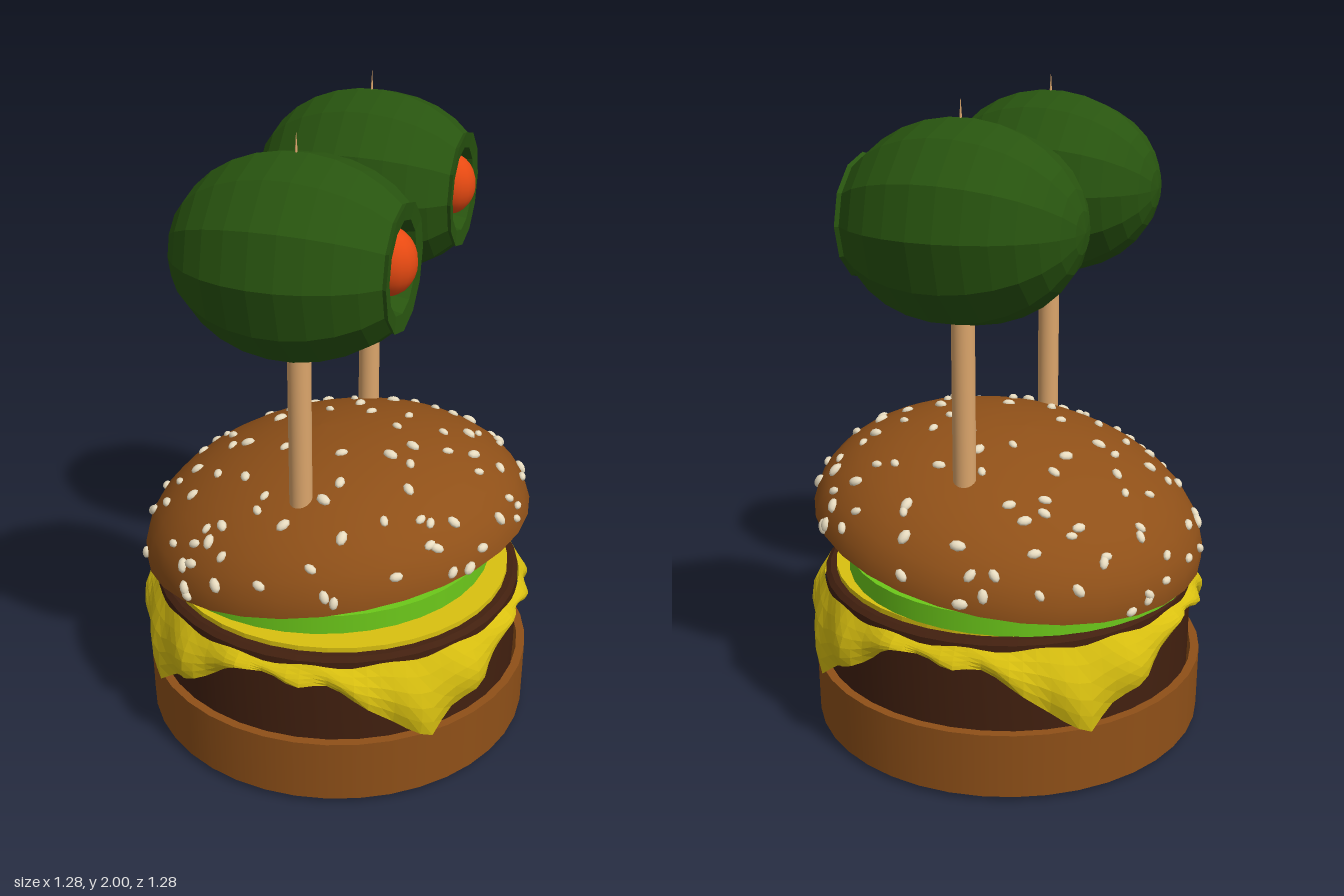
import * as THREE from 'three';

const mat = (color, extra = {}) => new THREE.MeshStandardMaterial({ color, ...extra });
const bunMat = mat(0x8f5018);
const pattyMat = mat(0x42200f);
const cheeseMat = mat(0xd9c010, { side: THREE.DoubleSide, flatShading: true });
const lettuceMat = mat(0x6cc81a);
const tomatoMat = mat(0xd9401a);
const seedMat = mat(0xe8dcc0);
const stickMat = mat(0xdba56b);
const oliveMat = mat(0x28540f, { flatShading: true });
const pimentoMat = mat(0xe84a12);

function add(parent, name, geometry, material, x = 0, y = 0, z = 0) {
  const mesh = new THREE.Mesh(geometry, material);
  mesh.name = name;
  mesh.position.set(x, y, z);
  parent.add(mesh);
  return mesh;
}

const lathe = (points, segments) =>
  new THREE.LatheGeometry(points.map(([r, y]) => new THREE.Vector2(r, y)), segments);

// Upright disc between two heights
function disc(parent, name, material, r, y0, y1, x = 0, z = 0) {
  return add(parent, name, new THREE.CylinderGeometry(r, r, y1 - y0, 40), material, x, (y0 + y1) / 2, z);
}

function seededRandom(seed) {
  return () => (seed = (seed * 16807) % 2147483647) / 2147483647;
}

// Shallow cup-shaped lower bun; doubled points keep its edges sharp
function bottomBun(parent) {
  add(parent, 'bottomBun', lathe([
    [0, 0], [0.3, 0.004], [0.62, 0.015], [0.62, 0.015], [0.622, 0.22], [0.622, 0.22],
    [0.595, 0.22], [0.595, 0.22], [0.59, 0.08], [0.59, 0.08], [0, 0.08],
  ], 40), bunMat);
}

// Cheese slice: flat middle and a wavy band with four drooping corners
function cheese(parent) {
  const group = new THREE.Group();
  group.name = 'cheese';
  parent.add(group);
  disc(group, 'cheeseTop', cheeseMat, 0.55, 0.495, 0.518);
  const band = new THREE.PlaneGeometry(1, 1, 96, 5);
  const p = band.attributes.position;
  for (let i = 0; i < p.count; i++) {
    const angle = (p.getX(i) + 0.5) * Math.PI * 2;
    const t = 0.5 - p.getY(i);
    const quarter = Math.PI / 2;
    const offset = ((angle - 0.26 + quarter / 2 + Math.PI * 2) % quarter) - quarter / 2;
    const droop = Math.max(0, 1 - Math.abs(offset) / 0.56);
    const top = 0.477 + 0.006 * Math.sin(angle * 16);
    const bottom = 0.435 + 0.012 * Math.sin(angle * 12) - 0.225 * droop;
    const ruffle = 0.012 * Math.sin(angle * 20 + t * 2) * t;
    const bulge = Math.sin(Math.PI * Math.min(1, t * 0.85)) * (0.012 + 0.02 * Math.min(1, droop * 2));
    const r = 0.588 + 0.018 * t + bulge + ruffle;
    p.setXYZ(i, Math.cos(angle) * r, top + (bottom - top) * t, Math.sin(angle) * r);
  }
  band.computeVertexNormals();
  add(group, 'cheeseDrape', band, cheeseMat);
}

// Tilted dome bun scattered with seeds
function topBun(parent) {
  const R = 0.62, H = 0.33;
  const group = new THREE.Group();
  group.name = 'topBun';
  group.position.set(-0.005, 0.635, 0);
  group.rotation.set(0.07, 0, 0.153);
  parent.add(group);

  const profile = [[0, 0], [R - 0.005, 0], [R - 0.005, 0]];
  for (let i = 0; i <= 10; i++) {
    const a = (i / 10) * Math.PI / 2;
    profile.push([R * Math.cos(a), H * Math.sin(a)]);
  }
  profile[profile.length - 1][0] = 0;
  add(group, 'bunDome', lathe(profile, 32), bunMat);

  const random = seededRandom(4711);
  const seedGeo = new THREE.SphereGeometry(1, 8, 6);
  const up = new THREE.Vector3(0, 1, 0);
  for (let i = 0; i < 115; i++) {
    const angle = i * 2.39996 + random() * 0.9;
    const s = 0.04 + 0.94 * ((i + random()) / 115);
    const c = Math.sqrt(1 - s * s);
    const seed = add(group, 'seed', seedGeo, seedMat,
      R * c * Math.cos(angle), H * s, R * c * Math.sin(angle));
    const normal = new THREE.Vector3(c * Math.cos(angle) / R, s / H, c * Math.sin(angle) / R).normalize();
    seed.quaternion.setFromUnitVectors(up, normal);
    seed.rotateY(random() * Math.PI);
    const size = 0.85 + random() * 0.35;
    seed.scale.set(0.021 * size, 0.012 * size, 0.014 * size);
  }
}

// Pitted olive with a pimento, speared on a pointed stick
function oliveOnStick(parent, x, z) {
  const group = new THREE.Group();
  group.name = 'oliveOnStick';
  group.position.set(x, 0, z);
  parent.add(group);
  disc(group, 'stick', stickMat, 0.034, 0.75, 1.45);
  add(group, 'stickPoint', new THREE.ConeGeometry(0.034, 0.55, 16), stickMat, 0, 1.725, 0);

  const olive = new THREE.Group();
  olive.name = 'olive';
  olive.position.y = 1.655;
  olive.quaternion.setFromUnitVectors(
    new THREE.Vector3(0, 1, 0), new THREE.Vector3(0.866, 0, -0.5));
  group.add(olive);
  const profile = [];
  for (let i = 0; i <= 12; i++) {
    const a = -Math.PI / 2 + (i / 12) * 2.5;
    profile.push([i ? 0.288 * Math.cos(a) : 0, 0.36 * Math.sin(a)]);
  }
  profile.push([0.178, 0.3], [0.13, 0.295], [0.1, 0.17], [0, 0.15]);
  add(olive, 'oliveFlesh', lathe(profile, 12), oliveMat);
  const pimento = add(olive, 'pimento', new THREE.SphereGeometry(1, 20, 14), pimentoMat, 0.015, 0.25, 0);
  // Keep the taller axis of the pimento vertical
  pimento.quaternion.copy(olive.quaternion).invert();
  pimento.position.set(0, 0.25, 0).add(new THREE.Vector3(0, 0.015, 0).applyQuaternion(pimento.quaternion));
  pimento.scale.set(0.085, 0.095, 0.08);
}

export function createModel() {
  const model = new THREE.Group();
  model.name = 'burger';
  bottomBun(model);
  // Patty with a slightly rounded upper edge
  add(model, 'patty', lathe([
    [0, 0.06], [0.58, 0.06], [0.58, 0.06], [0.585, 0.25], [0.585, 0.49], [0.585, 0.49],
    [0.57, 0.502], [0.57, 0.502], [0, 0.502],
  ], 40), pattyMat);
  cheese(model);
  disc(model, 'lettuce', lettuceMat, 0.545, 0.528, 0.59, -0.07, 0);
  disc(model, 'tomato', tomatoMat, 0.37, 0.59, 0.626, 0.03, -0.04);
  topBun(model);
  oliveOnStick(model, -0.187, -0.305);
  oliveOnStick(model, 0.19, 0.315);
  return model;
}
